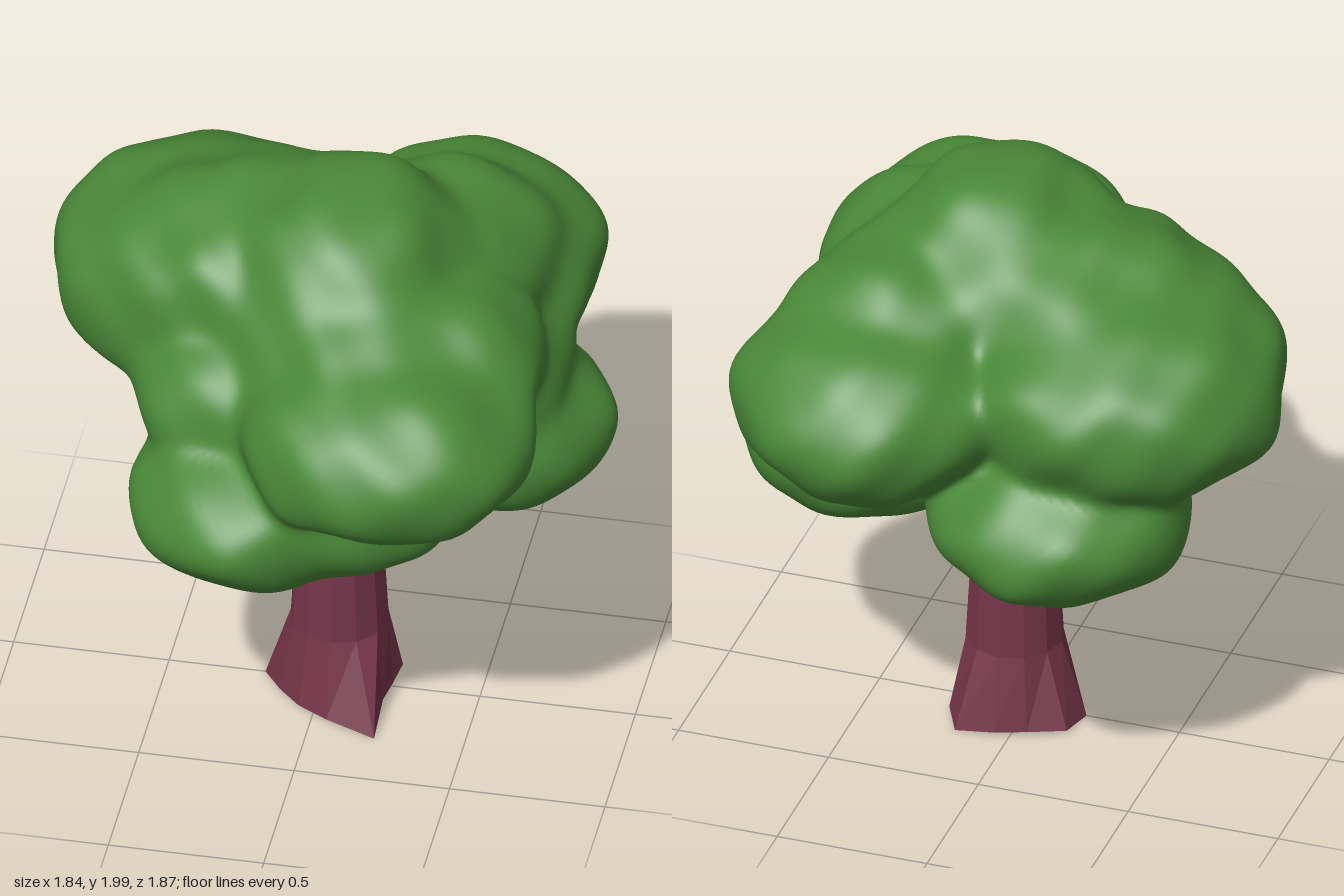
import * as THREE from 'three';
import { mergeVertices } from 'three/addons/utils/BufferGeometryUtils.js';

// Leaf lobes: centre x, y, z and radii x, y, z
const LOBES = [
  [0.02, 1.30, 0.00, 0.50, 0.41, 0.50], // core
  [0.09, 1.56, 0.02, 0.41, 0.43, 0.45], // crown
  [-0.22, 1.54, -0.08, 0.47, 0.34, 0.42], // crown shoulders
  [0.20, 1.50, 0.30, 0.38, 0.27, 0.31],
  [0.34, 1.53, -0.27, 0.35, 0.27, 0.36],
  [0.46, 1.47, 0.18, 0.28, 0.25, 0.32],
  [-0.42, 1.48, 0.00, 0.37, 0.27, 0.28],
  [-0.49, 1.43, -0.23, 0.43, 0.32, 0.47], // middle ring
  [-0.34, 1.42, -0.39, 0.37, 0.28, 0.34],
  [0.30, 1.36, 0.49, 0.47, 0.29, 0.44],
  [0.36, 1.37, -0.50, 0.44, 0.31, 0.43],
  [-0.20, 1.27, 0.22, 0.37, 0.28, 0.34], // fill between the rings
  [0.43, 1.26, -0.06, 0.34, 0.27, 0.37],
  [-0.14, 1.02, 0.42, 0.39, 0.25, 0.41], // lower ring
  [0.16, 1.02, 0.34, 0.35, 0.23, 0.33],
  [0.49, 1.03, -0.12, 0.42, 0.26, 0.40],
  [-0.25, 1.03, -0.42, 0.42, 0.26, 0.41],
];

// Soft union of the lobes with small bumps; negative inside
function foliageField(x, y, z) {
  const k = 0.028;
  let sum = 0;
  for (const [cx, cy, cz, rx, ry, rz] of LOBES) {
    const a = (x - cx) / rx, b = (y - cy) / ry, c = (z - cz) / rz;
    const k0 = Math.hypot(a, b, c);
    const k1 = Math.hypot(a / rx, b / ry, c / rz) + 1e-6;
    sum += Math.exp(Math.min(60, -(k0 * (k0 - 1)) / k1 / k));
  }
  const bumps = 0.012 * Math.sin(11 * x + 3 * y + 1) * Math.sin(12 * y - 4 * z) * Math.sin(11 * z + 3 * x + 2)
    + 0.008 * Math.sin(17 * x - 6 * z) * Math.sin(19 * y + 5 * x + 1) + 0.006 * Math.sin(18 * z + 7 * y);
  return -k * Math.log(sum + 1e-30) + bumps;
}

// Sphere whose vertices are pushed out to the lobe surface
function makeFoliage() {
  const sphere = new THREE.IcosahedronGeometry(1, 44);
  sphere.deleteAttribute('normal');
  sphere.deleteAttribute('uv');
  const geo = mergeVertices(sphere, 1e-5);
  const pos = geo.attributes.position;
  const d = new THREE.Vector3();
  const [ox, oy, oz] = [0.04, 1.28, 0];
  for (let i = 0; i < pos.count; i++) {
    d.fromBufferAttribute(pos, i).normalize();
    const f = (t) => foliageField(ox + d.x * t, oy + d.y * t, oz + d.z * t);
    let out = 1.2;
    while (out > 0.1 && f(out) > 0) out -= 0.02;
    let lo = out, hi = out + 0.02;
    for (let n = 0; n < 8; n++) {
      const mid = (lo + hi) / 2;
      if (f(mid) > 0) hi = mid; else lo = mid;
    }
    pos.setXYZ(i, ox + d.x * lo, oy + d.y * lo, oz + d.z * lo);
  }
  geo.computeVertexNormals();
  return geo;
}

// Faceted trunk: tapered column with uneven roots flaring at the foot
function makeTrunk() {
  const sides = 12;
  const foot = [0.23, 0.33, 0.18, 0.17, 0.21, 0.25, 0.21, 0.20, 0.25, 0.24, 0.20, 0.20];
  const geo = new THREE.CylinderGeometry(1, 1, 2, sides, 2);
  const pos = geo.attributes.position;
  for (let i = 0; i < pos.count; i++) {
    const x = pos.getX(i), y = pos.getY(i), z = pos.getZ(i);
    const level = Math.round(y) + 1; // 0 foot, 1 above the roots, 2 top
    const side = (Math.round((Math.atan2(x, z) / (2 * Math.PI)) * sides) + sides) % sides;
    const r = [foot[side], 0.158, 0.11][level];
    const lift = side % 4 === 1 ? 0 : 0.012;
    pos.setXYZ(i, 0.05 + x * r, [lift, 0.26, 1.1][level], z * r);
  }
  const flat = geo.toNonIndexed();
  flat.computeVertexNormals();
  return flat;
}

export function createModel() {
  const leafGreen = new THREE.MeshStandardMaterial({ color: 0x4a8938 });
  leafGreen.name = 'leafGreen';
  const barkRed = new THREE.MeshStandardMaterial({ color: 0x753549, flatShading: true });
  barkRed.name = 'barkRed';

  const tree = new THREE.Group();
  tree.name = 'tree';
  const foliage = new THREE.Mesh(makeFoliage(), leafGreen);
  foliage.name = 'foliage';
  const trunk = new THREE.Mesh(makeTrunk(), barkRed);
  trunk.name = 'trunk';
  tree.add(foliage, trunk);
  return tree;
}
